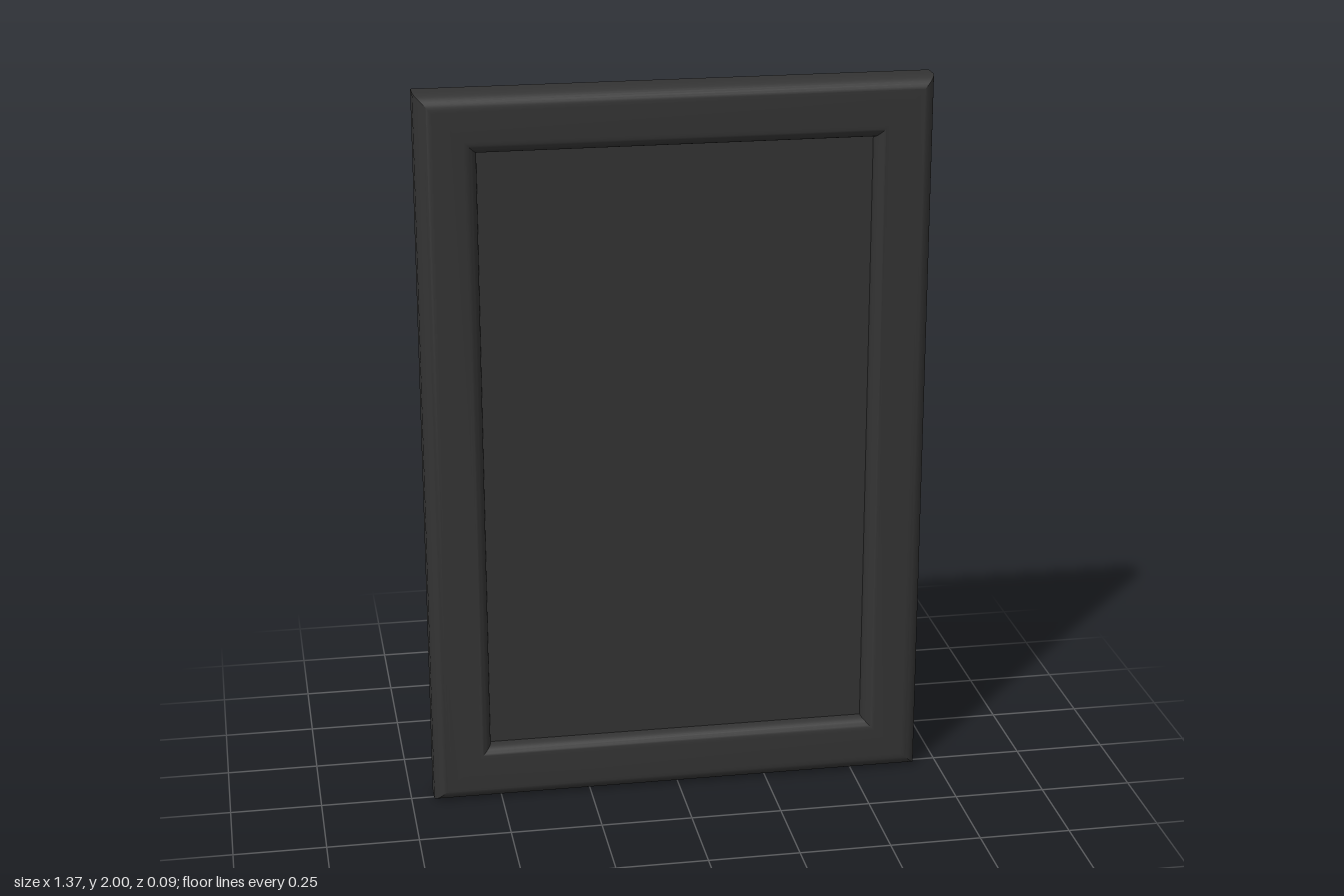
import * as THREE from 'three';
import { toCreasedNormals } from 'three/addons/utils/BufferGeometryUtils.js';

const HALF_W = 0.687, HALF_H = 1, HALF_D = 0.047;
const BORDER = 0.16;       // width of the frame members
const OUTER_R = 0.045;     // rounding of the outer front edge
const INNER_R = 0.036;     // rounding of the inner front edge
const STEPS = 10;

// Frame cross-section as [inset from outer edge, z], ending where it began
function frameProfile() {
  const points = [[0, -HALF_D]];
  for (let i = 0; i <= STEPS; i++) {
    const a = (i / STEPS) * Math.PI / 2;
    points.push([OUTER_R * (1 - Math.cos(a)), HALF_D - OUTER_R * (1 - Math.sin(a))]);
  }
  for (let i = 0; i <= STEPS; i++) {
    const a = (i / STEPS) * Math.PI / 2;
    points.push([BORDER - INNER_R * (1 - Math.sin(a)), HALF_D - INNER_R * (1 - Math.cos(a))]);
  }
  points.push([BORDER, -HALF_D], [0, -HALF_D]);
  return points;
}

// Sweep the cross-section round the rectangle with mitred corners
function frameGeometry() {
  const corners = [[-1, -1], [1, -1], [1, 1], [-1, 1]];
  const profile = frameProfile();
  const at = ([sx, sy], [d, z]) => [sx * (HALF_W - d), HALF_H + sy * (HALF_H - d), z];
  const positions = [];
  for (let k = 0; k < 4; k++) {
    const a = corners[k], b = corners[(k + 1) % 4];
    for (let i = 0; i < profile.length - 1; i++) {
      const p = profile[i], q = profile[i + 1];
      positions.push(...at(a, p), ...at(b, p), ...at(b, q));
      positions.push(...at(a, p), ...at(b, q), ...at(a, q));
    }
  }
  const geometry = new THREE.BufferGeometry();
  geometry.setAttribute('position', new THREE.Float32BufferAttribute(positions, 3));
  return toCreasedNormals(geometry, 0.5);
}

export function createModel() {
  const group = new THREE.Group();
  group.name = 'panelDoor';
  const material = new THREE.MeshStandardMaterial({ color: 0x333333 });

  const frame = new THREE.Mesh(frameGeometry(), material);
  frame.name = 'frame';
  group.add(frame);

  // Flat panel set back from both faces of the frame
  const front = HALF_D - 0.04, back = -HALF_D + 0.02;
  const panel = new THREE.Mesh(
    new THREE.BoxGeometry(2 * (HALF_W - BORDER) + 0.01, 2 * (HALF_H - BORDER) + 0.01, front - back),
    material
  );
  panel.position.set(0, HALF_H, (front + back) / 2);
  panel.name = 'centrePanel';
  group.add(panel);

  return group;
}
